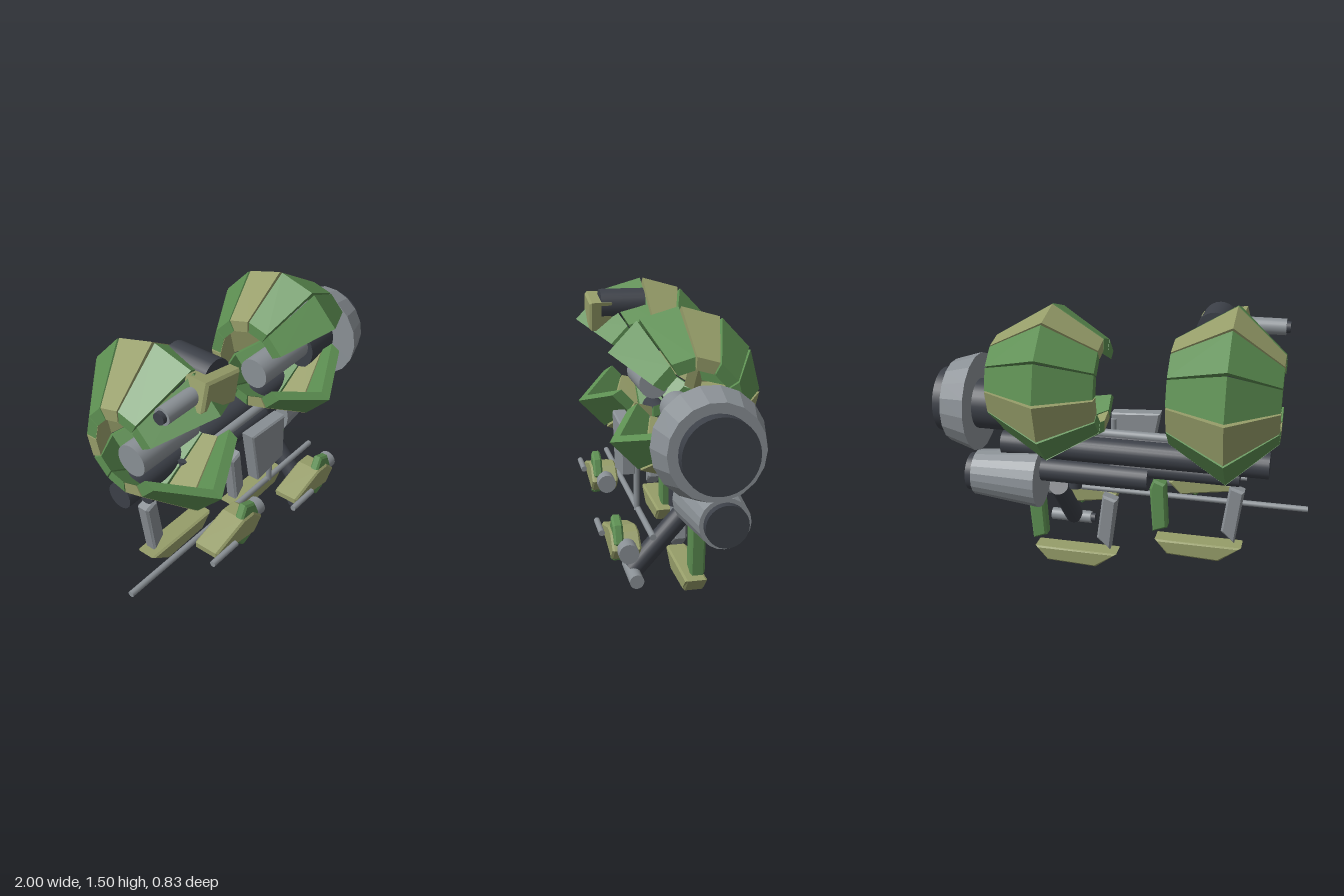
import * as THREE from 'three';

const paint = (name, color) => {
  const m = new THREE.MeshStandardMaterial({ color });
  m.name = name;
  return m;
};

export function createModel() {
  const green = paint('green', 0x5d8f52);
  const olive = paint('olive', 0x969d69);
  const grey = paint('grey', 0x8a9095);
  const dark = paint('charcoal', 0x3c4048);
  const model = new THREE.Group();

  const add = (name, geometry, material, parent = model) => {
    const mesh = new THREE.Mesh(geometry, material);
    mesh.name = name;
    parent.add(mesh);
    return mesh;
  };

  // Cylinder or cone running between two points
  const rod = (name, a, b, r0, r1, material, sides = 24, flat = false) => {
    const from = new THREE.Vector3(...a), to = new THREE.Vector3(...b);
    const dir = to.clone().sub(from);
    let g = new THREE.CylinderGeometry(r1, r0, dir.length(), sides);
    if (flat) {
      g = g.toNonIndexed();
      g.computeVertexNormals();
    }
    const mesh = add(name, g, material);
    mesh.position.copy(from).add(to).multiplyScalar(0.5);
    mesh.quaternion.setFromUnitVectors(new THREE.Vector3(0, 1, 0), dir.normalize());
    return mesh;
  };

  // Outline in x and y, given depth from z0 to z1, with chamfered edges
  const slab = (name, points, z0, z1, material, bevel = 0.012) => {
    const shape = new THREE.Shape(points.map(([x, y]) => new THREE.Vector2(x, y)));
    const g = new THREE.ExtrudeGeometry(shape, {
      depth: z1 - z0 - 2 * bevel, bevelEnabled: true, bevelSegments: 1,
      bevelSize: bevel, bevelThickness: bevel, bevelOffset: -bevel,
    });
    g.translate(0, 0, z0 + bevel);
    return add(name, g, material);
  };
  const shift = (points, dx, dy) => points.map(([x, y]) => [x + dx, y + dy]);

  // Ridged armour panel: a box bent around the x axis
  const panel = (xs, edges, ry, rz, start) => {
    const g = new THREE.BoxGeometry(1, 1, 1, 2, 1, 1).toNonIndexed();
    const p = g.attributes.position;
    for (let i = 0; i < p.count; i++) {
      const k = Math.round((p.getX(i) + 0.5) * 2);
      const angle = THREE.MathUtils.degToRad(start + 15 - p.getZ(i) * 28);
      const inset = p.getY(i) < 0 ? 0.06 : 0;
      p.setXYZ(i, xs[k],
        1.045 + Math.sin(angle) * (ry * edges[k] - inset),
        0.025 + Math.cos(angle) * (rz * edges[k] - inset));
    }
    g.computeVertexNormals();
    return g;
  };

  // Two open armour shells of ten panels each, with a core inside
  const shells = [
    { xs: [-0.83, -0.58, -0.27], edges: [0.5, 1, 0.6], ry: 0.467, rz: 0.445, core: [-0.75, -0.355] },
    { xs: [0.105, 0.375, 0.69], edges: [0.6, 1, 0.57], ry: 0.427, rz: 0.405, core: [0.19, 0.58] },
  ];
  for (const s of shells) {
    const shell = new THREE.Group();
    shell.name = 'armourShell';
    model.add(shell);
    for (let a = 30; a < 330; a += 30) {
      add('armourPanel', panel(s.xs, s.edges, s.ry, s.rz, a), a % 90 === 0 ? olive : green, shell);
    }
    rod('shellCore', [s.core[0], 0.935, 0], [s.core[1], 0.935, 0], 0.085, 0.085, grey);
  }

  // Upper thruster
  rod('upperThrusterNeck', [0.58, 0.91, -0.02], [0.8, 0.91, -0.02], 0.137, 0.137, dark, 32);
  rod('upperThrusterRing', [0.79, 0.915, -0.01], [0.935, 0.915, -0.01], 0.27, 0.225, grey, 18, true);
  rod('upperThrusterNozzle', [0.93, 0.915, -0.01], [1, 0.915, -0.01], 0.176, 0.176, dark, 32);

  // Lower thruster
  rod('lowerThrusterCone', [0.43, 0.53, -0.09], [0.8, 0.53, -0.09], 0.164, 0.125, grey, 20, true);
  rod('lowerThrusterNozzle', [0.79, 0.53, -0.09], [0.84, 0.53, -0.09], 0.104, 0.104, dark, 32);

  // Chassis pipes and hangers
  rod('upperPipe', [-0.79, 0.71, -0.06], [0.65, 0.71, -0.06], 0.07, 0.07, dark);
  rod('lowerPipe', [-0.64, 0.62, -0.04], [0.05, 0.62, -0.04], 0.05, 0.05, dark);
  rod('thrusterPipe', [-0.16, 0.575, -0.07], [0.45, 0.575, -0.07], 0.065, 0.065, dark);
  rod('frontPipe', [-0.35, 0.71, 0.065], [0.18, 0.71, 0.065], 0.05, 0.05, dark);
  rod('conduit', [-0.35, 0.76, 0.065], [0.18, 0.76, 0.065], 0.025, 0.025, grey);
  rod('rearHanger', [-0.41, 0.56, 0.02], [-0.41, 0.74, 0.02], 0.033, 0.033, dark);
  rod('frontHanger', [0.275, 0.44, 0.02], [0.275, 0.74, 0.02], 0.037, 0.037, dark);

  // Hanging front plate with its antenna rods
  slab('frontPlate', [[-0.165, 0.845], [-0.11, 0.53], [0.11, 0.565], [0.11, 0.83]], 0.195, 0.272, grey, 0.008);
  rod('plateRod', [0.095, 0.36, 0.19], [0.095, 0.8, 0.19], 0.016, 0.016, grey, 12);
  rod('longBoom', [-1, 0.365, 0.185], [0.5, 0.365, 0.185], 0.016, 0.016, grey, 12);

  // Diagonal strut with a sensor tube at its foot
  rod('diagonalStrut', [0.355, 0.46, -0.03], [0.355, 0.14, 0.26], 0.053, 0.053, dark);
  rod('sensorTube', [0.25, 0.13, 0.265], [0.49, 0.13, 0.265], 0.036, 0.036, grey);
  rod('sensorTip', [0.225, 0.13, 0.265], [0.25, 0.13, 0.265], 0.026, 0.026, dark);

  // Skids, legs and side guns repeat on two levels
  const greyLeg = [[-0.67, 0.55], [-0.59, 0.575], [-0.555, 0.31], [-0.63, 0.245]];
  const greenLeg = [[-0.25, 0.55], [-0.185, 0.575], [-0.165, 0.52], [-0.185, 0.265], [-0.265, 0.295]];
  const skid = [[-0.67, 0.228], [-0.55, 0.135], [-0.27, 0.145], [-0.2, 0.228]];
  const pod = [[-0.59, 0.43], [-0.37, 0.495], [-0.285, 0.49], [-0.215, 0.42], [-0.285, 0.35], [-0.4, 0.37], [-0.59, 0.4]];
  const fin = [[-0.34, 0.565], [-0.265, 0.535], [-0.23, 0.45], [-0.3, 0.335], [-0.36, 0.31], [-0.41, 0.36], [-0.39, 0.46]];
  for (const [dx, dy] of [[0, 0], [0.685, -0.125]]) {
    slab('greyLeg', shift(greyLeg, dx, dy), -0.08, -0.005, grey);
    slab('greenLeg', shift(greenLeg, dx, dy), -0.08, -0.002, green);
    slab('skid', shift(skid, dx, dy), -0.1, 0.015, olive);
    slab('gunPod', shift(pod, dx, dy), 0.235, 0.38, olive, 0.01);
    slab('gunFin', shift(fin, dx, dy), 0.32, 0.37, green, 0.01);
    const y = 0.42 + dy;
    rod('gunBarrel', [-0.645 + dx, y, 0.398], [-0.46 + dx, y, 0.398], 0.016, 0.016, grey, 12);
    rod('gunTail', [-0.25 + dx, y, 0.308], [-0.165 + dx, y, 0.308], 0.05, 0.05, grey);
  }

  // Cannon on the shell's shoulder
  rod('cannonDrum', [-0.465, 1.375, 0.04], [-0.465, 1.375, 0.287], 0.092, 0.092, dark);
  slab('cannonBlock', [[-0.6, 1.44], [-0.37, 1.4], [-0.41, 1.24], [-0.64, 1.3]], 0.22, 0.352, olive);
  rod('cannonBarrel', [-0.81, 1.355, 0.275], [-0.6, 1.355, 0.275], 0.043, 0.043, grey);
  rod('cannonMuzzle', [-0.832, 1.355, 0.275], [-0.81, 1.355, 0.275], 0.03, 0.03, dark);

  return model;
}
